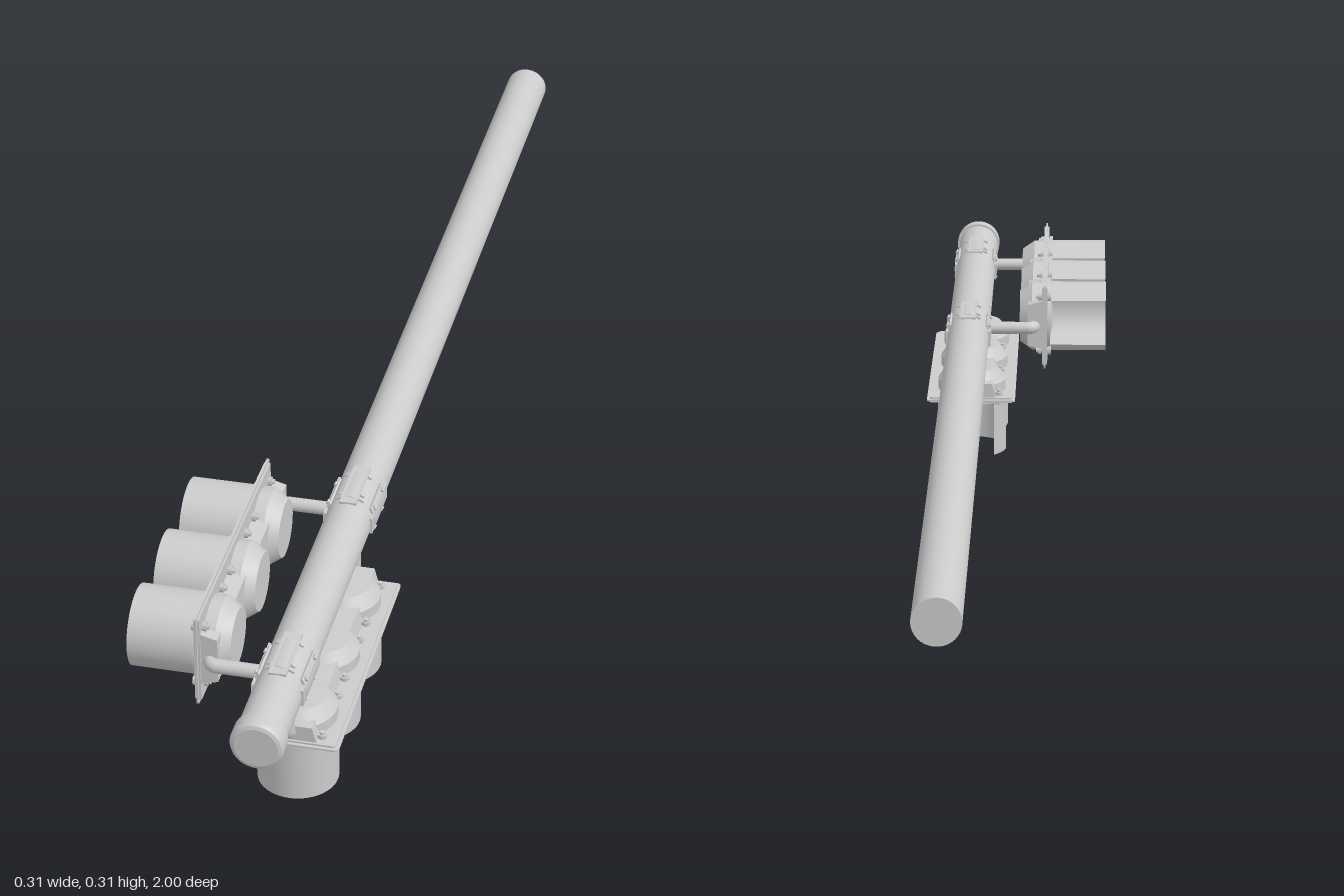
import * as THREE from 'three';

const material = new THREE.MeshStandardMaterial({ color: 0xcccccc });
const thin = new THREE.MeshStandardMaterial({ color: 0xcccccc, side: THREE.DoubleSide });

const POLE = { x: 0.079, y: 0.234, r: 0.035 };
const PLATE_Y = -0.129; // backplate distance from the pole axis
const SPACING = 0.14;

function add(parent, name, geometry, x = 0, y = 0, z = 0, mat = material) {
  const mesh = new THREE.Mesh(geometry, mat);
  mesh.name = name;
  mesh.position.set(x, y, z);
  parent.add(mesh);
  return mesh;
}

// lathe with hard edges: each pair of points becomes its own band
function turned(points, segments = 40) {
  const pts = [];
  points.forEach(([r, y], i) => {
    pts.push(new THREE.Vector2(r, y));
    if (i > 0 && i < points.length - 1) pts.push(new THREE.Vector2(r, y));
  });
  return new THREE.LatheGeometry(pts, segments);
}

function roundedRect(w, h, r) {
  const s = new THREE.Shape();
  const x = w / 2, y = h / 2;
  s.absarc(x - r, y - r, r, 0, Math.PI / 2);
  s.absarc(-x + r, y - r, r, Math.PI / 2, Math.PI);
  s.absarc(-x + r, -y + r, r, Math.PI, Math.PI * 1.5);
  s.absarc(x - r, -y + r, r, Math.PI * 1.5, Math.PI * 2);
  return s;
}

// flat plate with its thickness along y, centred
function plate(w, l, t, r, holes = []) {
  const shape = roundedRect(w, l, r);
  for (const [z, radius] of holes) {
    const hole = new THREE.Path();
    hole.absarc(0, -z, radius, 0, Math.PI * 2, true);
    shape.holes.push(hole);
  }
  const g = new THREE.ExtrudeGeometry(shape, { depth: t, bevelEnabled: false, curveSegments: 24 });
  return g.translate(0, 0, -t / 2).rotateX(-Math.PI / 2);
}

// one lamp: housing, lens, door ring, visor and bolts
function lamp() {
  const g = new THREE.Group();
  g.name = 'lamp';
  add(g, 'housing', turned([[0.0585, 0], [0.0585, 0.022], [0.044, 0.043], [0, 0.043]]));
  add(g, 'doorRing', turned([[0.055, 0], [0.055, -0.009], [0.064, -0.009], [0.064, 0]]), 0, 0, 0, thin);
  add(g, 'lens', new THREE.LatheGeometry(
    [[0, -0.014], [0.02, -0.0125], [0.04, -0.008], [0.056, -0.001]].map(p => new THREE.Vector2(...p)), 40), 0, 0, 0, thin);
  // visor, cut away on the rear side
  const gap = 0.72;
  add(g, 'visor', new THREE.CylinderGeometry(0.0595, 0.0595, 0.103, 48, 1, true,
    -Math.PI + gap, Math.PI * 2 - gap * 2), 0, -0.0535, 0, thin);
  for (const x of [-0.048, 0.048]) for (const z of [-0.048, 0.048]) {
    add(g, 'bolt', new THREE.CylinderGeometry(0.004, 0.004, 0.026, 10), x, 0.002, z);
    add(g, 'boltHead', new THREE.CylinderGeometry(0.008, 0.008, 0.006, 6), x, -0.008, z);
    add(g, 'nut', new THREE.CylinderGeometry(0.007, 0.007, 0.006, 6), x, 0.008, z);
  }
  return g;
}

// bent tube from the end of the signal to the pole
function arm(side) {
  const z = side * 0.209, y = PLATE_Y + 0.018, p = (a, b) => new THREE.Vector3(0, a, b);
  const path = new THREE.CurvePath();
  path.add(new THREE.LineCurve3(p(y, side * 0.16), p(y, z - side * 0.012)));
  path.add(new THREE.QuadraticBezierCurve3(p(y, z - side * 0.012), p(y, z), p(y + 0.012, z)));
  path.add(new THREE.LineCurve3(p(y + 0.012, z), p(-0.03, z)));
  return new THREE.TubeGeometry(path, 40, 0.0105, 14);
}

// three-lamp signal hanging below the pole axis
function signalHead() {
  const g = new THREE.Group();
  const offsets = [-SPACING, 0, SPACING];
  const holes = offsets.map(z => [z, 0.056]);
  const body = new THREE.Group();
  body.name = 'signalBody';
  body.position.set(-0.0025, PLATE_Y, 0);
  g.add(body);
  add(body, 'backplate', plate(0.152, 0.42, 0.003, 0.006, holes));
  add(body, 'backplateFrame', plate(0.142, 0.41, 0.009, 0.005, holes));
  for (const z of offsets) {
    const l = lamp();
    l.position.z = z;
    body.add(l);
  }
  // connecting blocks between the housings and at both ends
  for (const z of [-0.19, -0.07, 0.07, 0.19]) {
    const end = Math.abs(z) > 0.1;
    const s = new THREE.Shape();
    s.moveTo(-0.043, 0);
    s.lineTo(0.043, 0);
    s.lineTo(0.036, 0.027);
    s.lineTo(-0.036, 0.027);
    const d = end ? 0.024 : 0.06;
    const block = new THREE.ExtrudeGeometry(s, { depth: d, bevelEnabled: false }).translate(0, 0, -d / 2);
    add(body, 'connectorBlock', block, 0, 0.002, z);
  }
  for (const side of [-1, 1]) add(g, 'arm', arm(side));
  return g;
}

// clamp: four curved saddles with bolted tabs around the pole
function clamp() {
  const g = new THREE.Group();
  g.name = 'clamp';
  const half = 0.6, inner = 0.0345, outer = 0.0385;
  const s = new THREE.Shape();
  s.absarc(0, 0, outer, -half, half, false);
  s.absarc(0, 0, inner, half, -half, true);
  const saddle = new THREE.ExtrudeGeometry(s, { depth: 0.07, bevelEnabled: false, curveSegments: 12 }).translate(0, 0, -0.035);
  for (let i = 0; i < 4; i++) {
    const q = new THREE.Group();
    q.name = 'saddle';
    q.rotation.z = i * Math.PI / 2;
    g.add(q);
    add(q, 'saddleShell', saddle);
    add(q, 'saddleRib', new THREE.BoxGeometry(0.004, 0.026, 0.1), 0.0355, 0, 0);
    for (const a of [-0.45, 0.45]) for (const z of [-0.025, 0.025]) {
      const b = add(q, 'clampBolt', new THREE.CylinderGeometry(0.004, 0.004, 0.006, 6),
        Math.cos(a) * 0.0385, Math.sin(a) * 0.0385, z);
      b.rotation.z = a - Math.PI / 2;
    }
  }
  return g;
}

export function createModel() {
  const model = new THREE.Group();
  model.name = 'signalMast';
  const mast = new THREE.Group();
  mast.name = 'mast';
  mast.position.set(POLE.x, POLE.y, 0);
  model.add(mast);

  add(mast, 'pole', new THREE.CylinderGeometry(POLE.r, POLE.r, 1.985, 48).rotateX(Math.PI / 2), 0, 0, -0.0075);
  add(mast, 'endCap', turned([[0.035, -0.03], [0.0385, -0.03], [0.0385, -0.007], [0.036, -0.002], [0.031, 0], [0, 0]], 48)
    .rotateX(Math.PI / 2), 0, 0, 1, thin);

  for (const z of [0.395, 0.828]) {
    const c = clamp();
    c.position.z = z;
    mast.add(c);
  }

  const lower = signalHead();
  lower.name = 'lowerSignal';
  lower.position.z = 0.613;
  const sideways = signalHead();
  sideways.name = 'sideSignal';
  sideways.rotation.z = -Math.PI / 2;
  sideways.position.z = 0.622;
  mast.add(lower, sideways);
  return model;
}
